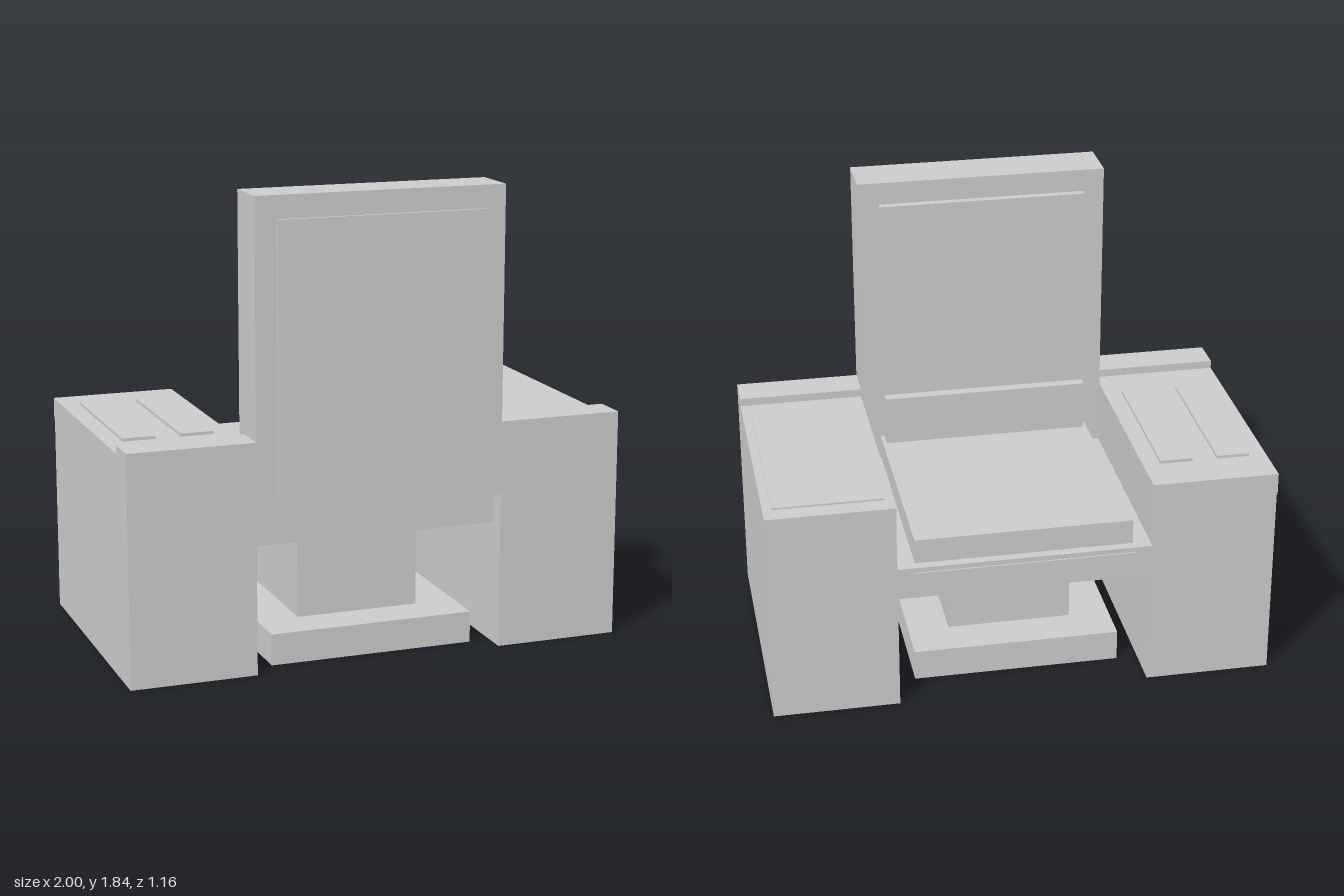
import * as THREE from 'three';

const material = new THREE.MeshStandardMaterial({ color: 0xcccccc, flatShading: true });

export function createModel() {
  const model = new THREE.Group();
  model.name = 'chair';

  // Box given by its limits on each axis
  const box = (name, [x0, x1], [y0, y1], [z0, z1], parent = model) => {
    const mesh = new THREE.Mesh(new THREE.BoxGeometry(x1 - x0, y1 - y0, z1 - z0), material);
    mesh.position.set((x0 + x1) / 2, (y0 + y1) / 2, (z0 + z1) / 2);
    mesh.name = name;
    parent.add(mesh);
  };
  const wide = (w) => [-w, w];

  // Pedestal
  box('foot', wide(0.415), [0, 0.125], [-0.39, 0.48]);
  box('pedestal', wide(0.25), [0.125, 0.49], [-0.225, 0.31]);

  // Seat, which opens toward -z
  box('seatBase', wide(0.5), [0.49, 0.62], [-0.578, 0.5]);
  box('seatFrontPanel', wide(0.43), [0.535, 0.6], [-0.584, -0.578]);
  box('seatCushion', wide(0.43), [0.62, 0.72], [-0.54, 0.365]);

  // Backrest
  box('backrest', wide(0.5), [0.62, 1.835], [0.365, 0.568]);
  box('backrestRearPanel', wide(0.415), [0.695, 1.745], [0.568, 0.581]);
  box('backrestPad', wide(0.415), [0.92, 1.745], [0.335, 0.365]);
  box('lumbarPad', wide(0.415), [0.72, 0.92], [0.293, 0.365]);

  // Arm consoles
  for (const side of [-1, 1]) {
    const arm = new THREE.Group();
    arm.name = side > 0 ? 'leftArm' : 'rightArm';
    model.add(arm);
    const x = side > 0 ? [0.5, 1] : [-1, -0.5];
    box('armBody', x, [0, 0.88], [-0.555, 0.568], arm);
    box('armLip', x, [0.79, 0.88], [-0.565, -0.555], arm);
    box('armRearLedge', x, [0.88, 0.912], [0.425, 0.568], arm);
    if (side > 0) {
      box('armTopPanel', [0.535, 0.965], [0.88, 0.887], [-0.49, 0.345], arm);
    } else {
      for (const x0 of [-0.93, -0.7]) {
        box('controlStrip', [x0, x0 + 0.13], [0.88, 0.892], [-0.395, 0.255], arm);
      }
    }
  }
  return model;
}
